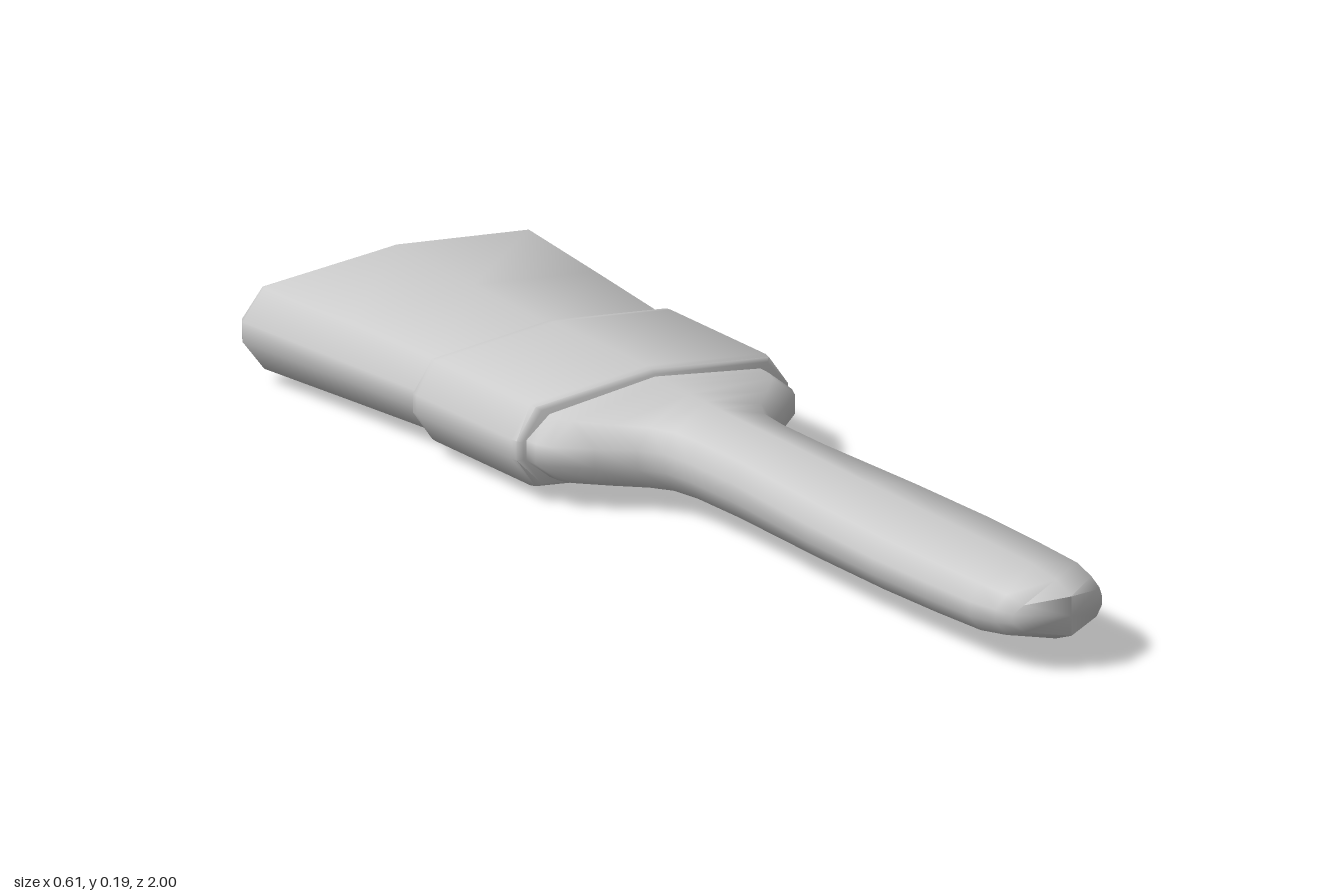
import * as THREE from 'three';
import { toCreasedNormals } from 'three/addons/utils/BufferGeometryUtils.js';

const MID_Y = 0.0975;

// Ten-sided flattened section with a shallow ridge; cu, cv place the corners
function section(cu, cv, side) {
  return [[1, -side], [1, side], [cu, cv], [0, 1], [-cu, cv],
    [-1, side], [-1, -side], [-cu, -cv], [0, -1], [cu, -cv]];
}

// Skin rings [z, centreX, halfWidth, halfHeight, bulge] in order of rising z
function loft(name, rings, shape, material, crease) {
  const pos = [], idx = [], n = shape.length;
  for (const [z, cx, w, h, bulge = 0] of rings) {
    for (const [u, v] of shape) {
      pos.push(cx + u * w, MID_Y + v * h, z + bulge * (1 - Math.abs(u)));
    }
  }
  for (let i = 0; i < rings.length - 1; i++) {
    for (let j = 0; j < n; j++) {
      const a = i * n + j, b = i * n + (j + 1) % n;
      idx.push(a, b, b + n, a, b + n, a + n);
    }
  }
  // End caps
  const last = rings.length - 1;
  for (const r of [0, last]) {
    const [z, cx, , , bulge = 0] = rings[r];
    const c = pos.length / 3;
    pos.push(cx, MID_Y, z + bulge);
    for (let j = 0; j < n; j++) {
      const a = r * n + j, b = r * n + (j + 1) % n;
      if (r === 0) idx.push(c, b, a);
      else idx.push(c, a, b);
    }
  }
  const geo = new THREE.BufferGeometry();
  geo.setAttribute('position', new THREE.Float32BufferAttribute(pos, 3));
  geo.setIndex(idx);
  const mesh = new THREE.Mesh(toCreasedNormals(geo, crease), material);
  mesh.name = name;
  return mesh;
}

export function createModel() {
  const group = new THREE.Group();
  group.name = 'paintbrush';
  const grey = new THREE.MeshStandardMaterial({ color: 0xcccccc });
  const wide = section(0.86, 0.75, 0.18);
  const slim = section(0.82, 0.68, 0.22);

  // Bristles flare towards a softly bevelled flat end
  group.add(loft('bristles', [
    [-1, 0, 0.293, 0.085],
    [-0.98, 0, 0.305, 0.0945],
    [-0.75, -0.003, 0.28, 0.089],
    [-0.53, -0.007, 0.257, 0.083],
    [-0.5, -0.007, 0.255, 0.082],
  ], wide, grey, 0.9));

  // Metal band with rounded rims
  group.add(loft('ferrule', [
    [-0.53, -0.009, 0.262, 0.085],
    [-0.522, -0.009, 0.27, 0.092],
    [-0.51, -0.009, 0.271, 0.093],
    [-0.235, -0.009, 0.271, 0.093],
    [-0.222, -0.009, 0.269, 0.091],
    [-0.215, -0.009, 0.26, 0.084],
  ], wide, grey, 0.9));

  // Handle: broad shoulder, narrow neck, swelling grip, blunt pointed tip
  group.add(loft('handle', [
    [-0.23, -0.008, 0.256, 0.08],
    [-0.19, -0.008, 0.254, 0.079],
    [-0.165, -0.008, 0.243, 0.078],
    [-0.115, -0.008, 0.188, 0.077],
    [-0.07, -0.007, 0.135, 0.076],
    [-0.03, -0.007, 0.108, 0.074],
    [0.03, -0.006, 0.101, 0.072],
    [0.15, -0.006, 0.101, 0.071],
    [0.4, -0.006, 0.118, 0.067],
    [0.6, -0.006, 0.125, 0.064],
    [0.75, -0.006, 0.122, 0.062],
    [0.87, -0.006, 0.117, 0.059, 0.01],
    [0.925, -0.006, 0.103, 0.051, 0.025],
    [0.955, -0.006, 0.088, 0.034, 0.04],
  ], slim, grey, 1.1));

  return group;
}
